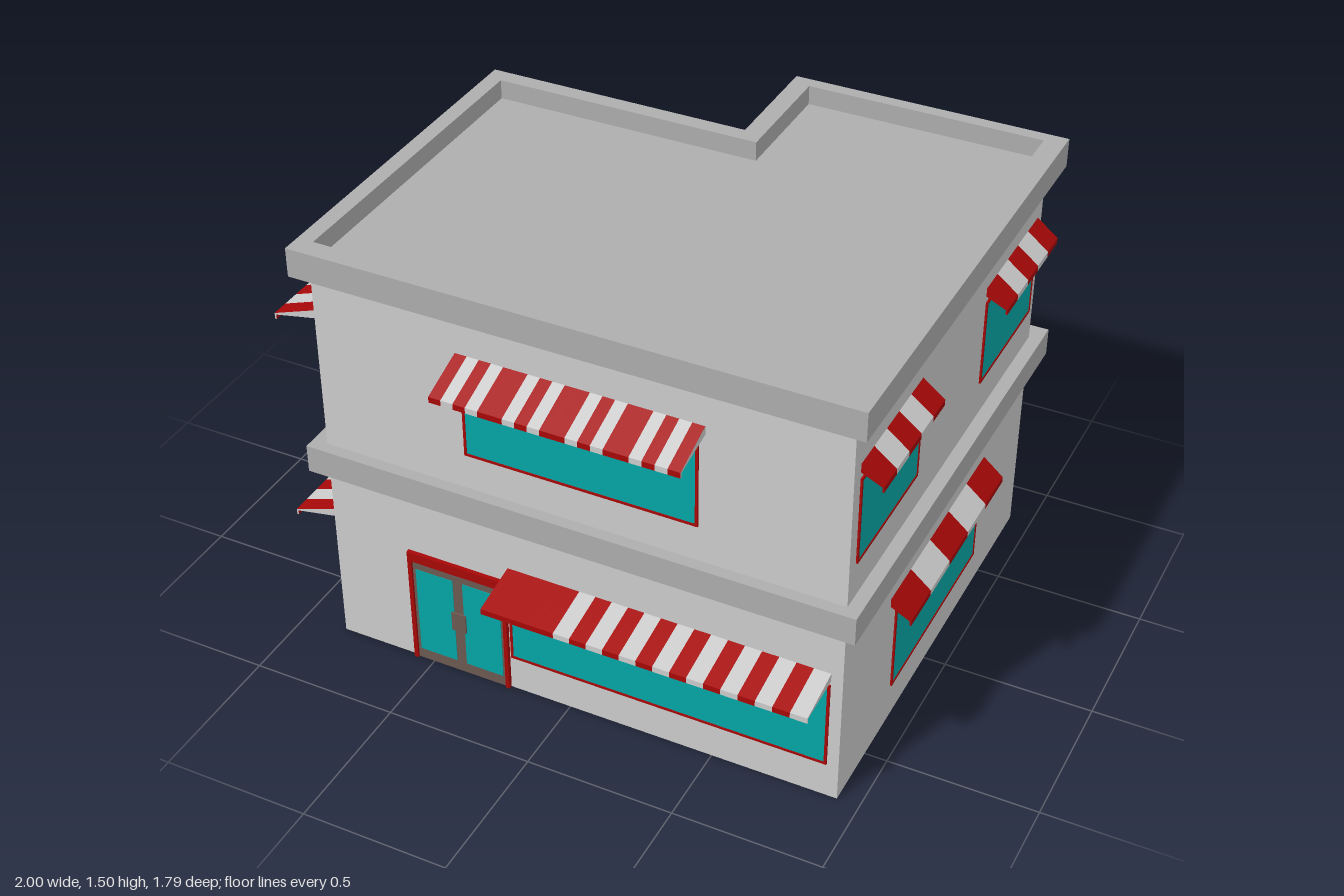
import * as THREE from 'three';

const mat = (color) => new THREE.MeshStandardMaterial({ color, flatShading: true });
const GREY = mat(0xcccccc), RED = mat(0xa80808), GLASS = mat(0x04a6a6), BROWN = mat(0x6b5a50);
const CORNICE = mat(0xadadad);

// L-shaped footprint [xMin, xMax, zBack, zFront, xNotch, zNotch], drawn with shape y = -z
const WALL = [-0.845, 0.925, -0.825, 0.72, 0.07, -0.455];
const WALL_IN = [-0.835, 0.915, -0.815, 0.71, 0.08, -0.445];
const EAVE = [-0.897, 0.97, -0.895, 0.76, 0.022, -0.49];
const PARAPET_IN = [-0.842, 0.9, -0.85, 0.693, 0.088, -0.433];

const corners = ([x0, x1, zb, zf, xn, zn]) =>
  [[x0, -zf], [x1, -zf], [x1, -zb], [xn, -zb], [xn, -zn], [x0, -zn]].map((p) => new THREE.Vector2(...p));

function storey(name, outer, inner, y0, y1, material) {
  const shape = new THREE.Shape(corners(outer));
  if (inner) shape.holes.push(new THREE.Path(corners(inner)));
  const geo = new THREE.ExtrudeGeometry(shape, { depth: y1 - y0, bevelEnabled: false });
  geo.rotateX(-Math.PI / 2);
  geo.translate(0, y0, 0);
  const mesh = new THREE.Mesh(geo, material);
  mesh.name = name;
  return mesh;
}

function box(parent, name, material, [x0, x1], [y0, y1], [z0, z1]) {
  const mesh = new THREE.Mesh(new THREE.BoxGeometry(x1 - x0, y1 - y0, z1 - z0), material);
  mesh.position.set((x0 + x1) / 2, (y0 + y1) / 2, (z0 + z1) / 2);
  mesh.name = name;
  parent.add(mesh);
}

// Red border bars at the sides and top of a rectangle
function border(parent, w, y0, y1, t, out) {
  const z = [-0.014, out];
  for (const s of [-1, 1]) {
    const a = s * w / 2, b = s * (w / 2 - t);
    box(parent, 'frameSide', RED, [Math.min(a, b), Math.max(a, b)], [y0, y1], z);
  }
  box(parent, 'frameTop', RED, [-w / 2 + t, w / 2 - t], [y1 - t, y1], z);
  return z;
}

function makeWindow(w, y0, y1) {
  const g = new THREE.Group();
  g.name = 'window';
  const z = border(g, w, y0, y1, 0.009, 0.006);
  box(g, 'frameSill', RED, [-w / 2 + 0.009, w / 2 - 0.009], [y0, y0 + 0.009], z);
  box(g, 'glass', GLASS, [-w / 2 + 0.009, w / 2 - 0.009], [y0 + 0.009, y1 - 0.009], [-0.013, 0.004]);
  return g;
}

// Double door with two glazed leaves and a pair of meeting handles
function makeDoor() {
  const g = new THREE.Group();
  g.name = 'door';
  border(g, 0.356, 0, 0.44, 0.014, 0.014);
  box(g, 'frameHead', RED, [-0.164, 0.164], [0.405, 0.426], [-0.014, 0.014]);
  box(g, 'leaves', BROWN, [-0.164, 0.164], [0, 0.405], [-0.013, 0.006]);
  for (const s of [-1, 1]) {
    const span = (a, b) => (s > 0 ? [a, b] : [-b, -a]);
    box(g, 'doorGlass', GLASS, span(0.018, 0.153), [0.04, 0.372], [-0.014, 0.008]);
    box(g, 'handle', BROWN, span(0, 0.026), [0.172, 0.245], [0, 0.013]);
  }
  return g;
}

// Sloping striped awning with a short drop at the front edge; R = red stripe, G = grey
function makeAwning(w, yLow, yTop, out, stripes, endMaterial) {
  const g = new THREE.Group();
  g.name = 'awning';
  const lip = 0.02, step = w / stripes.length;
  const profile = new THREE.Shape([
    [0, yTop], [-0.016, yTop], [-0.016, yTop - 0.03], [0, yTop - 0.03],
    [out - 0.006, yLow + lip - 0.004], [out - 0.006, yLow], [out, yLow], [out, yLow + lip],
  ].map((p) => new THREE.Vector2(...p)));
  const geo = new THREE.ExtrudeGeometry(profile, { depth: step, bevelEnabled: false });
  geo.rotateY(-Math.PI / 2);
  [...stripes].forEach((c, i) => {
    const mesh = new THREE.Mesh(geo, [endMaterial, c === 'R' ? RED : GREY]);
    mesh.name = 'awningStripe';
    mesh.position.x = -w / 2 + (i + 1) * step;
    g.add(mesh);
  });
  return g;
}

export function createModel() {
  const model = new THREE.Group();
  model.name = 'shopBuilding';

  // Walls, ledge between floors, roof and parapet
  model.add(
    storey('lowerWalls', WALL, WALL_IN, 0, 0.675, GREY),
    storey('middleLedge', EAVE, null, 0.67, 0.767, CORNICE),
    storey('upperWalls', WALL, WALL_IN, 0.76, 1.405, GREY),
    storey('roof', EAVE, null, 1.398, 1.43, CORNICE),
    storey('parapet', EAVE, PARAPET_IN, 1.43, 1.497, CORNICE),
  );

  // Puts a part on a wall; u is its centre along that wall's world axis
  const place = (side, u, part) => {
    const [x, z, turn] = {
      front: [u, WALL[3], 0],
      right: [WALL[1], u, Math.PI / 2],
      left: [WALL[0], u, -Math.PI / 2],
      back: [u, WALL[5], Math.PI],
    }[side];
    part.position.set(x, 0, z);
    part.rotation.y = turn;
    part.name = side + part.name[0].toUpperCase() + part.name.slice(1);
    model.add(part);
  };

  const dense = 'RGRGR'.repeat(4), few = 'RGRGR';
  const shopfront = 'R'.repeat(9) + 'GGRR'.repeat(7) + 'GG';

  // side, window centre, width, sill, head, awning centre, width, low, top, reach, stripes, end colour
  const openings = [
    ['front', 0.055, 0.785, 0.895, 1.2, 0.057, 0.82, 1.185, 1.263, 0.158, dense, GREY],
    ['front', 0.339, 1.095, 0.13, 0.45, 0.339, 1.095, 0.44, 0.495, 0.172, shopfront, GREY],
    ['right', 0.44, 0.465, 0.895, 1.2, 0.44, 0.465, 1.175, 1.252, 0.072, few, RED],
    ['right', -0.553, 0.46, 0.895, 1.2, -0.555, 0.465, 1.175, 1.252, 0.072, few, RED],
    ['right', -0.055, 0.73, 0.13, 0.46, -0.05, 0.805, 0.437, 0.517, 0.07, few, RED],
    ['left', 0.135, 1.15, 0.895, 1.21, 0.125, 1.17, 1.187, 1.263, 0.155, dense, GREY],
    ['left', 0.135, 1.15, 0.13, 0.45, 0.125, 1.17, 0.425, 0.5, 0.155, dense, GREY],
  ];
  for (const [side, u, w, y0, y1, au, ...awning] of openings) {
    place(side, u, makeWindow(w, y0, y1));
    place(side, au, makeAwning(...awning));
  }

  place('front', -0.393, makeDoor());
  place('back', -0.125, makeDoor());
  return model;
}
